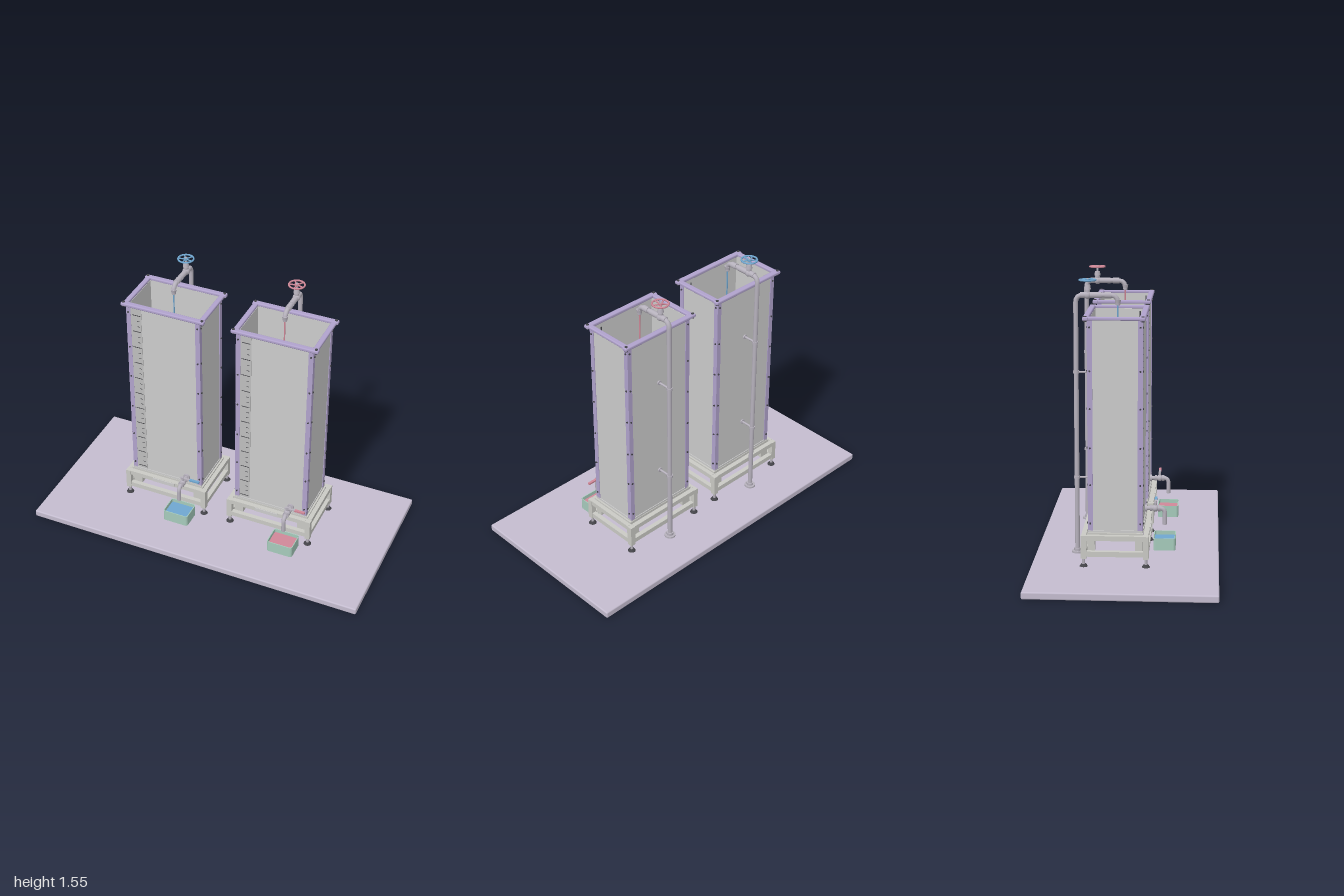
import * as THREE from 'three';
import { RoundedBoxGeometry } from 'three/addons/geometries/RoundedBoxGeometry.js';

const paint = (name, color) => Object.assign(new THREE.MeshStandardMaterial({ color }), { name });

export function createModel() {
  const M = {
    base: paint('lavender base', 0xc4bccf),
    trim: paint('purple trim', 0xb0a2cc),
    panel: paint('grey panel', 0xcbcbcb),
    strip: paint('gauge window', 0xbdbdbd),
    frame: paint('frame grey', 0xc9c9c4),
    pipe: paint('pipe grey', 0xb6b1bc),
    dark: paint('dark rubber', 0x45454a),
    green: paint('green tray', 0xa6cabb),
    blue: paint('blue', 0x6fa6d0),
    red: paint('red', 0xd08898),
  };

  const add = (parent, name, geo, mat, x = 0, y = 0, z = 0) => {
    const m = new THREE.Mesh(geo, mat);
    m.name = name;
    m.position.set(x, y, z);
    parent.add(m);
    return m;
  };
  // Box given by its extents on each axis
  const box = (parent, name, mat, x0, x1, y0, y1, z0, z1, r = 0) => {
    const s = [x1 - x0, y1 - y0, z1 - z0];
    const geo = r ? new RoundedBoxGeometry(...s, 2, r) : new THREE.BoxGeometry(...s);
    return add(parent, name, geo, mat, (x0 + x1) / 2, (y0 + y1) / 2, (z0 + z1) / 2);
  };
  // Cylinder between two points
  const rod = (parent, name, mat, a, b, r0, r1 = r0, seg = 16) => {
    const A = new THREE.Vector3(...a), B = new THREE.Vector3(...b);
    const m = add(parent, name, new THREE.CylinderGeometry(r1, r0, A.distanceTo(B), seg), mat);
    m.position.copy(A).lerp(B, 0.5);
    m.quaternion.setFromUnitVectors(new THREE.Vector3(0, 1, 0), B.sub(A).normalize());
    return m;
  };
  // Bent pipe: straight runs joined by rounded corners
  const bentPipe = (parent, name, mat, pts, r, bend) => {
    const p = pts.map(v => new THREE.Vector3(...v));
    const path = new THREE.CurvePath();
    let last = p[0];
    for (let i = 1; i < p.length - 1; i++) {
      const a = p[i].clone().add(p[i - 1].clone().sub(p[i]).setLength(bend));
      const b = p[i].clone().add(p[i + 1].clone().sub(p[i]).setLength(bend));
      path.add(new THREE.LineCurve3(last, a));
      path.add(new THREE.QuadraticBezierCurve3(a, p[i], b));
      last = b;
    }
    path.add(new THREE.LineCurve3(last, p[p.length - 1]));
    return add(parent, name, new THREE.TubeGeometry(path, 100, r, 14), mat);
  };

  const W = 0.22, ZF = 0.094, ZB = -0.197, Y0 = 0.226, Y1 = 1.36; // tank extents

  function tank(g) {
    const t = 0.006, o = 0.004;
    box(g, 'frontPanel', M.panel, -W + o, W - o, Y0, Y1, ZF - o - t, ZF - o);
    box(g, 'backPanel', M.panel, -W + o, W - o, Y0, Y1, ZB + o, ZB + o + t);
    for (const s of [-1, 1])
      add(g, 'sidePanel', new THREE.BoxGeometry(t, Y1 - Y0, ZF - ZB - 2 * o), M.panel,
        s * (W - o - t / 2), (Y0 + Y1) / 2, (ZF + ZB) / 2);
    box(g, 'tankFloor', M.panel, -W, W, Y0 - 0.008, Y0 + 0.006, ZB, ZF);
    // Corner angles with bolts
    for (const sx of [-1, 1]) for (const [z, sz] of [[ZF, 1], [ZB, -1]]) {
      const l = 0.027;
      add(g, 'cornerAngle', new THREE.BoxGeometry(l, Y1 - Y0, o), M.trim, sx * (W - l / 2), (Y0 + Y1) / 2, z - sz * o / 2);
      add(g, 'cornerAngle', new THREE.BoxGeometry(o, Y1 - Y0, l), M.trim, sx * (W - o / 2), (Y0 + Y1) / 2, z - sz * l / 2);
      for (const y of [0.27, 0.48, 0.68, 0.89, 1.09, 1.32]) {
        rod(g, 'bolt', M.dark, [sx * (W - 0.013), y, z], [sx * (W - 0.013), y, z + sz * 0.005], 0.005, 0.005, 8);
        rod(g, 'bolt', M.dark, [sx * W, y, z - sz * 0.013], [sx * (W + 0.005), y, z - sz * 0.013], 0.005, 0.005, 8);
      }
    }
    // Rim rails and corner bolts
    for (const [a, b] of [[0.076, 0.108], [-0.219, -0.187]])
      box(g, 'rimRail', M.trim, -0.248, 0.248, Y1 - 0.004, 1.376, a, b, 0.007);
    for (const s of [-1, 1]) {
      add(g, 'rimRail', new RoundedBoxGeometry(0.03, 0.017, 0.29, 2, 0.006), M.trim, s * 0.226, 1.366, -0.055);
      for (const z of [0.094, -0.205])
        rod(g, 'rimBolt', M.dark, [s * 0.234, 1.35, z], [s * 0.234, 1.38, z], 0.008, 0.008, 8);
    }
    // Gauge window and level marks
    box(g, 'gaugeWindow', M.strip, -W + 0.027, -0.13, Y0 + 0.01, Y1 - 0.01, ZF - o, ZF - o + 0.003);
    for (let i = 0; i < 11; i++) {
      const y = 0.25 + i * 0.1055;
      box(g, 'levelMark', M.dark, -0.185, -0.135, y, y + 0.004, ZF - 0.001, ZF);
      if (i < 10) for (const k of [1, 2])
        box(g, 'smallMark', M.dark, -0.155, -0.14, y + k * 0.035, y + k * 0.035 + 0.003, ZF - 0.001, ZF);
    }
  }

  function stand(g) {
    const X = 0.257, F = 0.127, B = -0.234, w = 0.03;
    for (const sx of [-1, 1]) for (const [z, sz] of [[F, 1], [B, -1]]) {
      const cx = sx * (X - w / 2), cz = z - sz * w / 2;
      add(g, 'leg', new THREE.BoxGeometry(w, 0.125, w), M.frame, cx, 0.1475, cz);
      rod(g, 'footSpindle', M.pipe, [cx, 0.05, cz], [cx, 0.09, cz], 0.008);
      rod(g, 'foot', M.dark, [cx, 0.04, cz], [cx, 0.053, cz], 0.022, 0.014);
      add(g, 'innerPost', new THREE.BoxGeometry(0.055, 0.07, 0.04), M.frame, sx * 0.195, 0.152, cz - sz * 0.038);
    }
    for (const [y0, y1] of [[0.184, 0.211], [0.096, 0.124]]) {
      for (const z of [F - w, B])
        box(g, 'longRail', M.frame, -X + w, X - w, y0, y1, z + 0.002, z + w - 0.002);
      for (const x of [-X, X - w])
        box(g, 'sideRail', M.frame, x + 0.002, x + w - 0.002, y0, y1, B + w, F - w);
    }
    for (const z of [-0.2, 0.066])
      box(g, 'bearer', M.frame, -0.23, 0.23, 0.205, Y0 - 0.006, z, z + 0.03);
    for (const x of [-0.23, 0.2])
      box(g, 'bearer', M.frame, x, x + 0.03, 0.205, Y0 - 0.006, -0.17, 0.066);
    box(g, 'labelPlate', M.panel, -0.08, 0.06, 0.186, 0.209, F - 0.002, F + 0.003);
  }

  function supply(g, tint) {
    const z = -0.274, h = 1.458, v = -0.21;
    bentPipe(g, 'supplyPipe', M.pipe, [[0, 0.05, z], [0, h, z], [0, h, -0.05], [0, 1.41, -0.05]], 0.013, 0.04);
    rod(g, 'pipeFlange', M.pipe, [0, 0.04, z], [0, 0.05, z], 0.031, 0.031, 24);
    rod(g, 'pipeCollar', M.pipe, [0, 0.05, z], [0, 0.065, z], 0.019);
    rod(g, 'spoutNozzle', M.pipe, [0, 1.405, -0.05], [0, 1.435, -0.05], 0.011, 0.017);
    rod(g, 'spoutSleeve', M.pipe, [0, h, -0.12], [0, h, -0.085], 0.017);
    rod(g, 'valveSleeve', M.pipe, [0, h, -0.25], [0, h, -0.135], 0.016);
    // Gate valve and hand wheel
    add(g, 'valveBody', new THREE.SphereGeometry(0.021, 16, 12), M.pipe, 0, h, v);
    rod(g, 'valveNeck', M.pipe, [0, h, v], [0, 1.492, v], 0.013);
    rod(g, 'valveBonnet', M.pipe, [0, 1.488, v], [0, 1.512, v], 0.018, 0.014);
    rod(g, 'valveStem', M.pipe, [0, 1.51, v], [0, 1.547, v], 0.006);
    const wheel = add(g, 'handWheel', new THREE.TorusGeometry(0.043, 0.005, 8, 32), tint, 0, 1.538, v);
    wheel.rotation.x = Math.PI / 2;
    rod(g, 'wheelHub', tint, [0, 1.531, v], [0, 1.543, v], 0.012);
    for (let i = 0; i < 5; i++) {
      const a = i * Math.PI * 0.4;
      rod(g, 'wheelSpoke', tint, [0, 1.537, v], [0.042 * Math.sin(a), 1.538, v + 0.042 * Math.cos(a)], 0.004, 0.004, 8);
    }
    // Wall brackets
    for (const y of [0.465, 1.045]) {
      rod(g, 'wallBracket', M.pipe, [0, y, ZB + 0.004], [0, y, z], 0.006);
      rod(g, 'pipeClamp', M.pipe, [0, y - 0.007, z], [0, y + 0.007, z], 0.017);
      rod(g, 'bracketFoot', M.pipe, [0, y, ZB + 0.004], [0, y, ZB - 0.004], 0.013);
    }
    // Liquid, falling stream and level float
    rod(g, 'stream', tint, [0, 0.3, -0.05], [0, 1.41, -0.05], 0.004, 0.004, 8);
    box(g, 'liquid', tint, -0.209, 0.209, 0.233, 0.3, -0.186, 0.083);
    add(g, 'levelFloat', new THREE.SphereGeometry(0.022, 16, 12), tint, 0.17, 0.3, 0.04);
    rod(g, 'floatRod', M.dark, [0.17, 0.3, 0.06], [0.17, 1.35, 0.06], 0.003, 0.003, 8);
  }

  function tap(g, tint) {
    const x = 0.125, y = 0.26;
    bentPipe(g, 'tapPipe', M.pipe, [[x, y, 0.085], [x, y, 0.2], [x, 0.168, 0.2]], 0.012, 0.03);
    rod(g, 'tapFlange', M.pipe, [x, y, 0.09], [x, y, 0.102], 0.02);
    for (const z of [0.118, 0.162])
      rod(g, 'tapNut', M.pipe, [x, y, z], [x, y, z + 0.014], 0.018, 0.018, 6);
    add(g, 'tapBody', new THREE.SphereGeometry(0.019, 16, 12), M.pipe, x, y, 0.148);
    rod(g, 'tapStem', M.pipe, [x, y, 0.148], [x, 0.3, 0.148], 0.007);
    box(g, 'leverArm', M.pipe, x - 0.015, x + 0.05, 0.29, 0.296, 0.142, 0.154);
    box(g, 'leverGrip', tint, x + 0.045, x + 0.105, 0.288, 0.298, 0.141, 0.155);
    // Catch tray with rounded corners
    const outline = (w, d, r, S) => {
      const s = new S();
      const c = [[w - r, d - r], [r - w, d - r], [r - w, r - d], [w - r, r - d]];
      c.forEach(([cx, cy], i) => s.absarc(cx, cy, r, i * Math.PI / 2, (i + 1) * Math.PI / 2, false));
      s.closePath();
      return s;
    };
    const slab = (name, shape, mat, y0, depth) => {
      const geo = new THREE.ExtrudeGeometry(shape, { depth, bevelEnabled: false, curveSegments: 6 });
      add(g, name, geo.rotateX(-Math.PI / 2), mat, x, y0, 0.2);
    };
    const wall = outline(0.077, 0.061, 0.014, THREE.Shape);
    wall.holes.push(outline(0.072, 0.056, 0.01, THREE.Path));
    slab('trayWall', wall, M.green, 0.04, 0.068);
    slab('trayLiquid', outline(0.0725, 0.0565, 0.01, THREE.Shape), tint, 0.041, 0.045);
  }

  const model = new THREE.Group();
  model.name = 'twinTankRig';
  box(model, 'basePlate', M.base, -1, 1, 0, 0.04, -0.5, 0.5, 0.008);
  for (const [name, x, tint] of [['blueTankUnit', -0.326, M.blue], ['redTankUnit', 0.325, M.red]]) {
    const unit = new THREE.Group();
    unit.name = name;
    unit.position.x = x;
    [['tank', tank], ['stand', stand], ['supply', supply], ['tap', tap]].forEach(([part, build]) => {
      const g = new THREE.Group();
      g.name = part;
      build(g, tint);
      unit.add(g);
    });
    model.add(unit);
  }
  return model;
}
